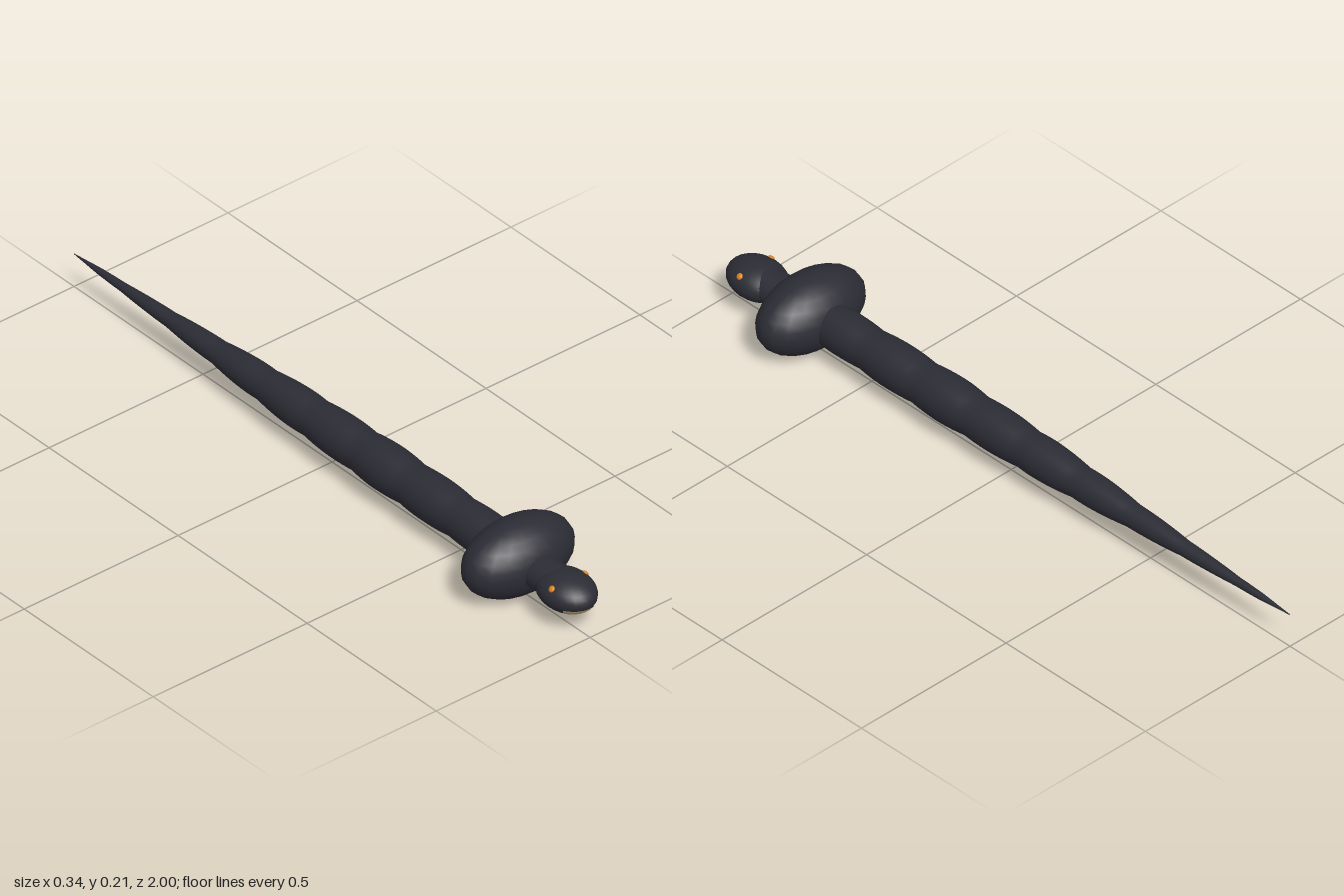
import * as THREE from 'three';

const mat = (name, color, side = THREE.FrontSide) => {
  const m = new THREE.MeshStandardMaterial({ color, side });
  m.name = name;
  return m;
};

export function createModel() {
  const group = new THREE.Group();
  const dark = mat('darkScales', 0x2c2c35);
  const gold = mat('paleBelly', 0xb8a572);
  const orange = mat('amberEye', 0xd88018);
  const rad = THREE.MathUtils.degToRad;

  const add = (name, geometry, material, pos, scale = [1, 1, 1]) => {
    const m = new THREE.Mesh(geometry, material);
    m.name = name;
    m.position.set(...pos);
    m.scale.set(...scale);
    group.add(m);
    return m;
  };

  // Body: tapering profile swollen into overlapping segments along z
  const stations = [[-1, 0.001], [-0.9, 0.009], [-0.7, 0.019], [-0.5, 0.031], [-0.3, 0.045],
    [-0.1, 0.056], [0.2, 0.0635], [0.45, 0.062], [0.65, 0.059], [0.75, 0.057]];
  const radiusAt = z => {
    const i = Math.max(1, stations.findIndex(s => s[0] >= z));
    const [a, b] = [stations[i - 1], stations[i]];
    return THREE.MathUtils.lerp(a[1], b[1], (z - a[0]) / (b[0] - a[0]));
  };
  const profile = [];
  const pitch = 0.1875;
  for (let i = 0; i <= 84; i++) {
    const z = Math.min(0.75, -1 + i * pitch / 9);
    const t = (i % 9) / 9 * 2 - 1; // -1..1 across one segment
    profile.push(new THREE.Vector2(radiusAt(z) * (1 - 0.09 * t * t), z));
  }
  // Angle 0 of the lathe ends up underneath
  const strip = (start, length, segs) =>
    new THREE.LatheGeometry(profile, segs, rad(start), rad(length)).rotateX(Math.PI / 2);
  add('bodyBack', strip(40, 280, 22), dark, [0, 0.1, 0]);
  add('bodyBelly', strip(-40, 80, 8), gold, [0, 0.1, 0]);

  // Neck between hood and head
  const tube = (start, length, segs) =>
    new THREE.CylinderGeometry(0.052, 0.052, 0.16, segs, 1, true, rad(start), rad(length)).rotateX(Math.PI / 2);
  add('neckBack', tube(40, 280, 18), dark, [0, 0.1, 0.8], [1, 0.85, 1]);
  add('neckBelly', tube(-40, 80, 6), gold, [0, 0.1, 0.8], [1, 0.85, 1]);

  // Flared hood
  add('hood', new THREE.SphereGeometry(1, 20, 14), dark, [0, 0.104, 0.72], [0.168, 0.103, 0.098]);

  // Head with pale lip patch
  const headPos = [0, 0.098, 0.909];
  add('head', new THREE.SphereGeometry(1, 24, 18), dark, headPos, [0.07, 0.049, 0.09]);
  add('lowerLip', new THREE.SphereGeometry(1.01, 14, 6, rad(36), rad(108), rad(104), rad(40)),
    gold, headPos, [0.07, 0.049, 0.09]);

  // Eyes
  for (const s of [1, -1]) {
    const eye = add(s > 0 ? 'leftEye' : 'rightEye', new THREE.SphereGeometry(1, 12, 8), orange,
      [s * 0.055, 0.128, 0.917], [0.005, 0.009, 0.009]);
    eye.rotation.z = s * rad(42);
  }
  return group;
}
